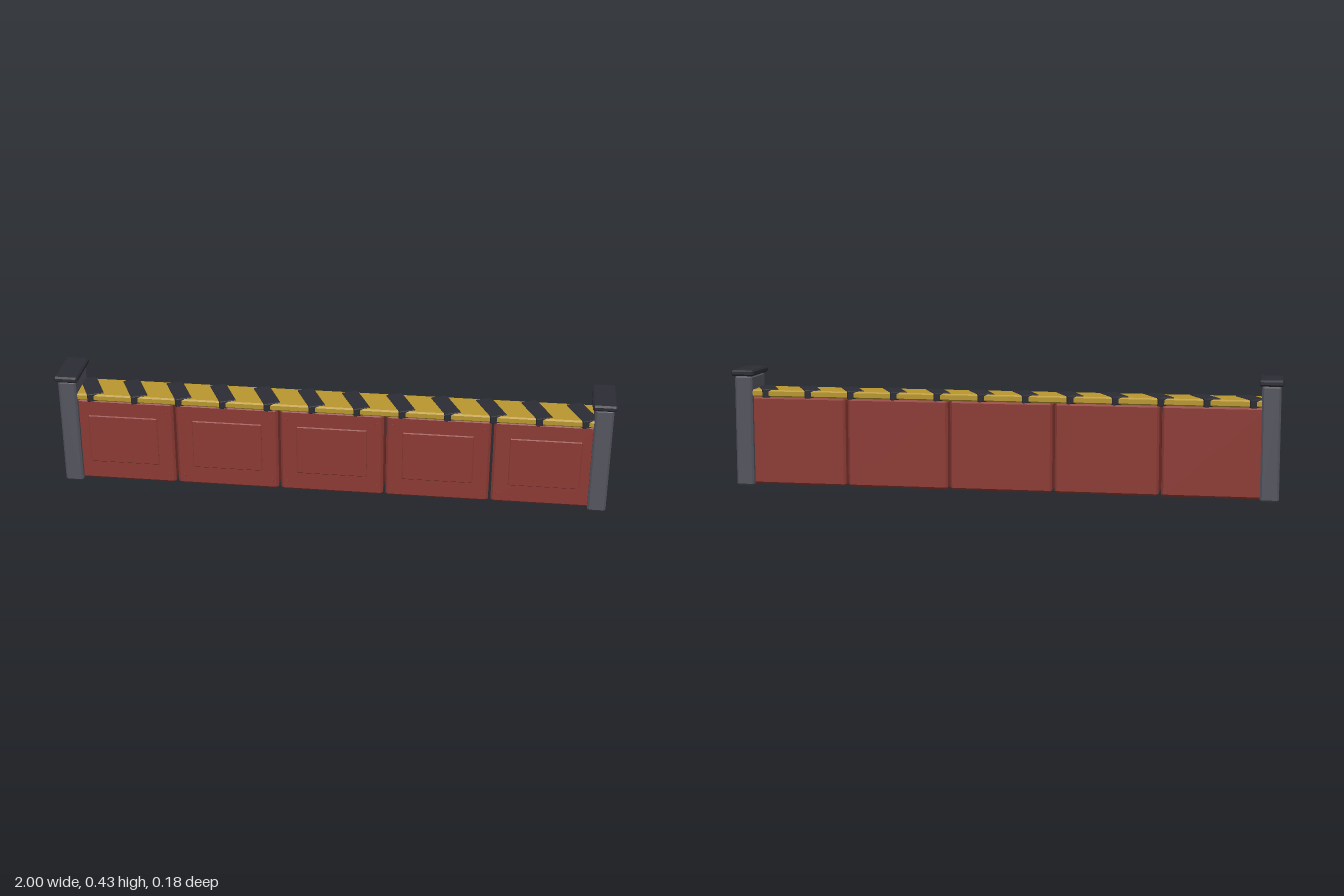
import * as THREE from 'three';
import { ConvexGeometry } from 'three/addons/geometries/ConvexGeometry.js';

const mat = (name, color) => {
  const m = new THREE.MeshStandardMaterial({ color });
  m.name = name;
  return m;
};

// Box with flat chamfers along every edge
function chamferBox(w, h, d, c) {
  const points = [];
  for (const x of [-1, 1]) for (const y of [-1, 1]) for (const z of [-1, 1]) {
    const [a, b, e] = [w / 2, h / 2, d / 2];
    points.push(
      new THREE.Vector3(x * a, y * (b - c), z * (e - c)),
      new THREE.Vector3(x * (a - c), y * b, z * (e - c)),
      new THREE.Vector3(x * (a - c), y * (b - c), z * e));
  }
  return new ConvexGeometry(points);
}

export function createModel() {
  const red = mat('red panel', 0x8b3a34);
  const grey = mat('grey post', 0x54545e);
  const dark = mat('dark trim', 0x2c2c35);
  const yellow = mat('hazard yellow', 0xb8962e);

  const model = new THREE.Group();
  model.name = 'barrier';
  const add = (parent, name, geometry, material, x, y, z) => {
    const mesh = new THREE.Mesh(geometry, material);
    mesh.name = name;
    mesh.position.set(x, y, z);
    parent.add(mesh);
    return mesh;
  };

  // End posts with overhanging caps
  const postGeo = chamferBox(0.066, 0.408, 0.152, 0.007);
  const capGeo = chamferBox(0.086, 0.022, 0.176, 0.006);
  for (const s of [-1, 1]) {
    add(model, 'post', postGeo, grey, s * 0.957, 0.204, 0);
    add(model, 'postCap', capGeo, dark, s * 0.957, 0.419, 0);
  }

  // Five wall panels, each with a raised front plate and corner rivets
  const panelGeo = chamferBox(0.373, 0.326, 0.114, 0.008);
  const plateGeo = chamferBox(0.255, 0.19, 0.012, 0.003);
  const rivetGeo = new THREE.CylinderGeometry(0.005, 0.006, 0.006, 8).rotateX(Math.PI / 2);
  for (let i = -2; i <= 2; i++) {
    const panel = new THREE.Group();
    panel.name = 'panel';
    panel.position.set(i * 0.382, 0.168, 0);
    model.add(panel);
    add(panel, 'panelBody', panelGeo, red, 0, 0, 0);
    add(panel, 'frontPlate', plateGeo, red, 0, 0.005, 0.055);
    for (const x of [-1, 1]) for (const y of [-1, 1])
      add(panel, 'rivet', rivetGeo, red, x * 0.163, y * 0.127, 0.059);
  }

  // Top rail with slanted hazard stripes
  add(model, 'topRail', chamferBox(1.86, 0.026, 0.134, 0.005), yellow, 0, 0.344, 0);
  const stripeGeo = chamferBox(0.06, 0.03, 0.14, 0.002);
  for (let i = 0; i < 12; i++) {
    const stripe = add(model, 'hazardStripe', stripeGeo, dark, (i - 5.5) * 0.161, 0.345, 0);
    stripe.rotation.y = THREE.MathUtils.degToRad(25);
  }
  return model;
}
